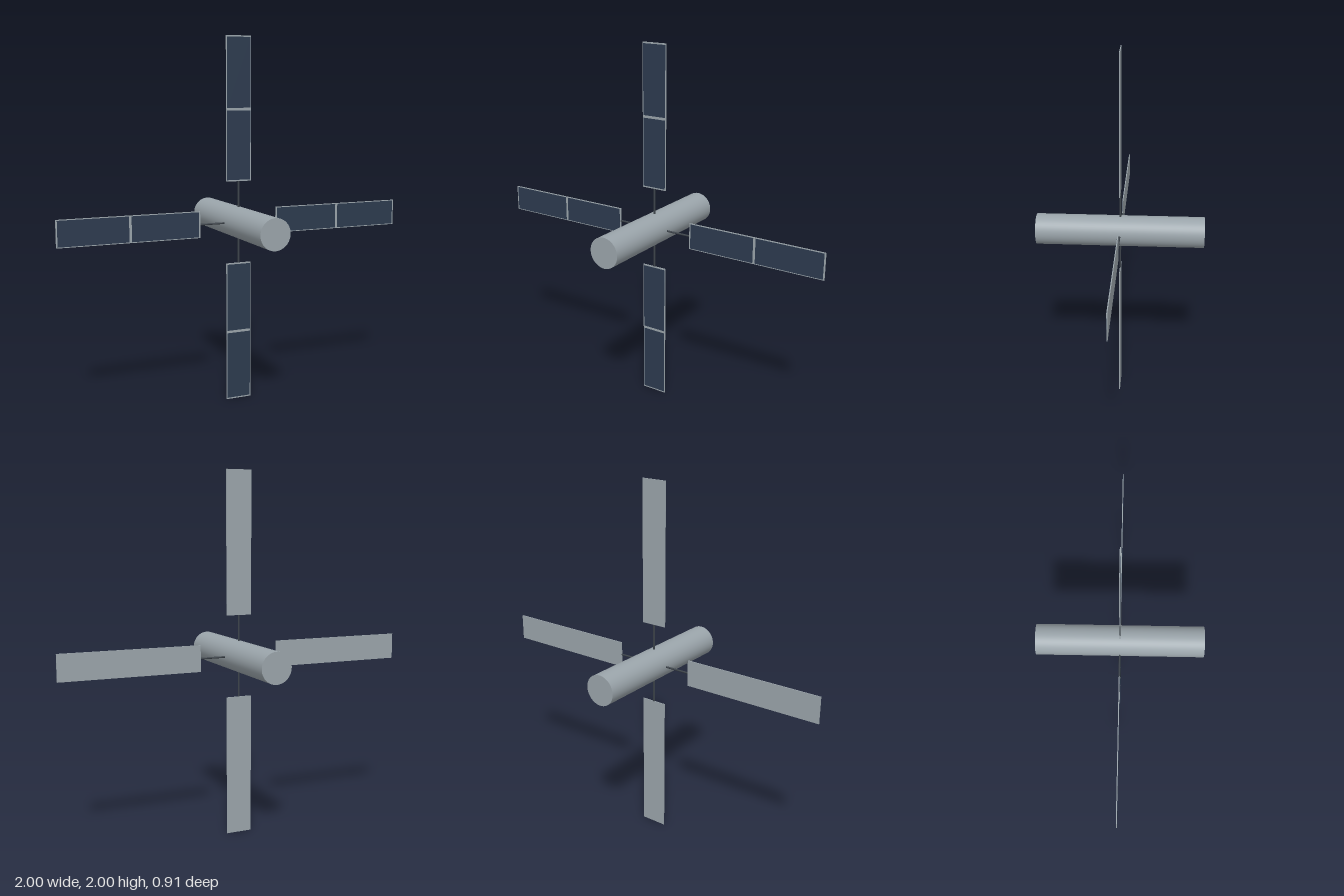
import * as THREE from 'three';

export function createModel() {
  const model = new THREE.Group();
  const hull = new THREE.MeshStandardMaterial({ name: 'hull grey', color: 0x9aa4aa });
  const cellBlue = new THREE.MeshStandardMaterial({ name: 'solar cell blue', color: 0x2c3a4e });
  const strutDark = new THREE.MeshStandardMaterial({ name: 'strut dark grey', color: 0x3c434a });

  const add = (parent, name, geometry, material, x, y, z) => {
    const mesh = new THREE.Mesh(geometry, material);
    mesh.name = name;
    mesh.position.set(x, y, z);
    parent.add(mesh);
    return mesh;
  };

  // Cylindrical body lying along z
  const body = add(model, 'body', new THREE.CylinderGeometry(0.084, 0.084, 0.914, 48), hull, 0, 1, 0);
  body.rotation.x = Math.PI / 2;

  // Four solar wings around the body, each built pointing up
  const inner = 0.225, outer = 1, width = 0.145, depth = 0.005;
  const cellLength = 0.373;
  const strutGeo = new THREE.CylinderGeometry(0.005, 0.005, inner, 12);
  const frameGeo = new THREE.BoxGeometry(width, outer - inner, depth);
  const cellGeo = new THREE.BoxGeometry(width - 0.009, cellLength, 0.001);
  for (let i = 0; i < 4; i++) {
    const wing = new THREE.Group();
    wing.name = 'solarWing';
    wing.position.y = 1;
    wing.rotation.z = i * Math.PI / 2;
    model.add(wing);

    add(wing, 'strut', strutGeo, strutDark, 0, inner / 2, 0);
    add(wing, 'panelFrame', frameGeo, hull, 0, (inner + outer) / 2, 0);
    // Two cells on the front face only
    for (const side of [-1, 1]) {
      const y = (inner + outer) / 2 + side * (cellLength / 2 + 0.007);
      add(wing, 'solarCells', cellGeo, cellBlue, 0, y, depth / 2 + 0.0005);
    }
  }
  return model;
}
